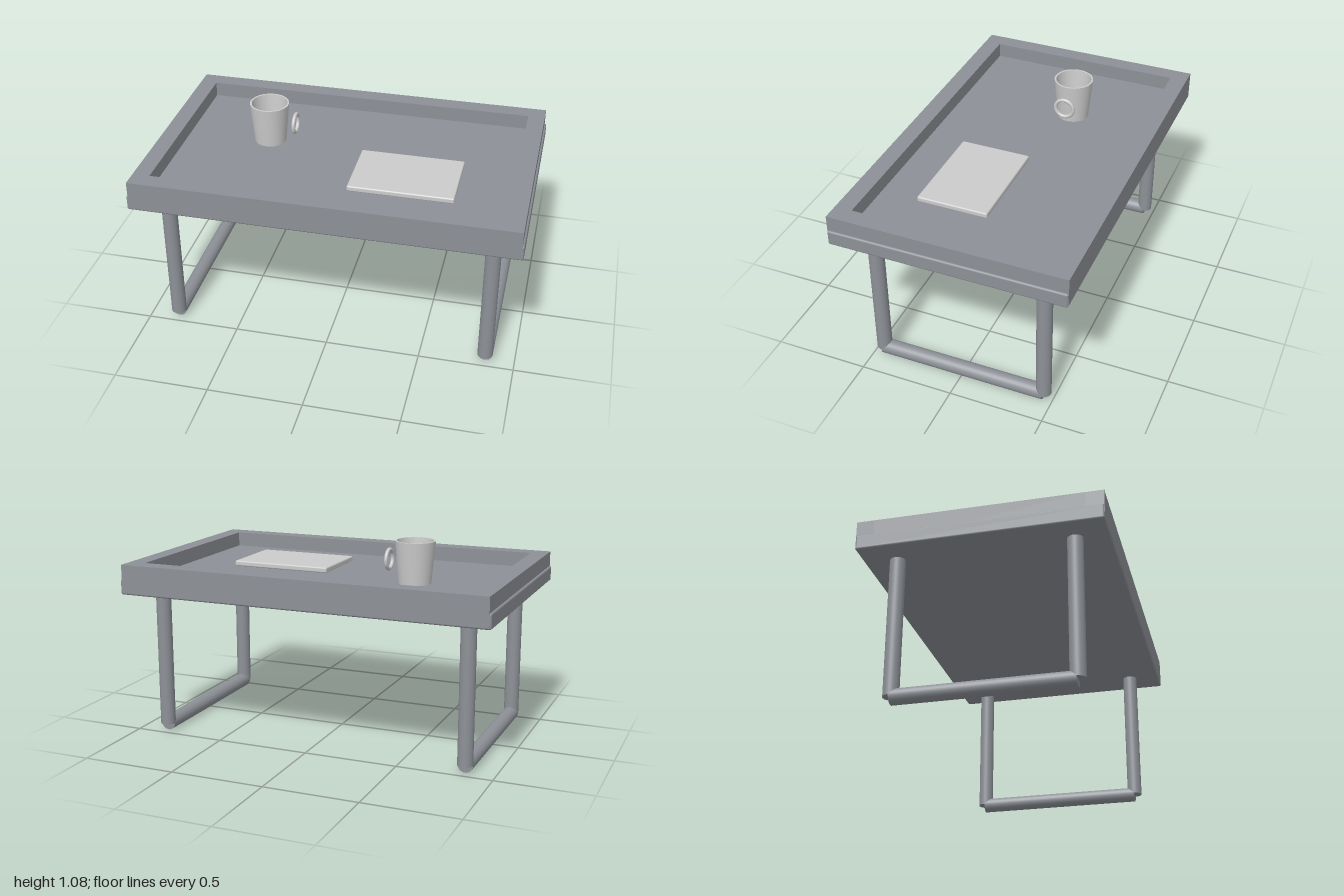
import * as THREE from 'three';
import { RoundedBoxGeometry } from 'three/addons/geometries/RoundedBoxGeometry.js';

const tableMat = new THREE.MeshStandardMaterial({ color: 0x8d9197 });
const lightMat = new THREE.MeshStandardMaterial({ color: 0xcccccc });

function add(parent, name, geometry, material, x = 0, y = 0, z = 0) {
  const mesh = new THREE.Mesh(geometry, material);
  mesh.name = name;
  mesh.position.set(x, y, z);
  parent.add(mesh);
  return mesh;
}

// Tray: rounded base slab with a raised rim of four rails
function createTray() {
  const tray = new THREE.Group();
  tray.name = 'tray';
  add(tray, 'trayBase', new RoundedBoxGeometry(2, 0.08, 1.24, 3, 0.01), tableMat, 0, 0.82, 0);
  for (const s of [1, -1]) {
    add(tray, s > 0 ? 'frontRail' : 'backRail',
      new THREE.BoxGeometry(1.98, 0.15, 0.091), tableMat, 0, 0.865, s * 0.5755);
    add(tray, s > 0 ? 'leftRail' : 'rightRail',
      new THREE.BoxGeometry(0.09, 0.15, 1.06), tableMat, s * 0.945, 0.865, 0);
  }
  return tray;
}

// U-shaped leg frame: two posts joined by a floor bar
function createLegFrame(x, name) {
  const frame = new THREE.Group();
  frame.name = name;
  frame.position.x = x;
  for (const s of [1, -1]) {
    add(frame, s > 0 ? 'frontLeg' : 'backLeg',
      new THREE.CylinderGeometry(0.04, 0.04, 0.75, 32), tableMat, 0, 0.415, s * 0.45);
  }
  const bar = add(frame, 'floorBar', new THREE.CylinderGeometry(0.04, 0.04, 0.9, 32), tableMat, 0, 0.04, 0);
  bar.rotation.x = Math.PI / 2;
  return frame;
}

// Tapered hollow mug with a separate ring handle
function createMug() {
  const mug = new THREE.Group();
  mug.name = 'mug';
  mug.position.set(-0.45, 0.86, -0.105);
  const strip = (name, pts) => add(mug, name,
    new THREE.LatheGeometry(pts.map(p => new THREE.Vector2(...p)), 48), lightMat);
  strip('mugOutside', [[0.085, 0], [0.105, 0.222]]);
  strip('mugLip', [[0.105, 0.222], [0.095, 0.222]]);
  strip('mugInside', [[0.095, 0.222], [0.077, 0.012]]);
  strip('mugInnerFloor', [[0.077, 0.012], [0, 0.012]]);
  strip('mugUnderside', [[0, 0], [0.085, 0]]);
  const handle = add(mug, 'mugHandle', new THREE.TorusGeometry(0.05, 0.01, 16, 48), lightMat, 0.142, 0.115, 0);
  handle.rotation.y = Math.PI / 2;
  return mug;
}

export function createModel() {
  const model = new THREE.Group();
  model.name = 'trayTable';
  model.add(createTray());
  model.add(createLegFrame(0.845, 'leftLegFrame'), createLegFrame(-0.845, 'rightLegFrame'));
  model.add(createMug());
  // Book lying on the tray floor
  add(model, 'book', new RoundedBoxGeometry(0.55, 0.03, 0.38, 3, 0.008), lightMat, 0.345, 0.875, 0.135);
  return model;
}
